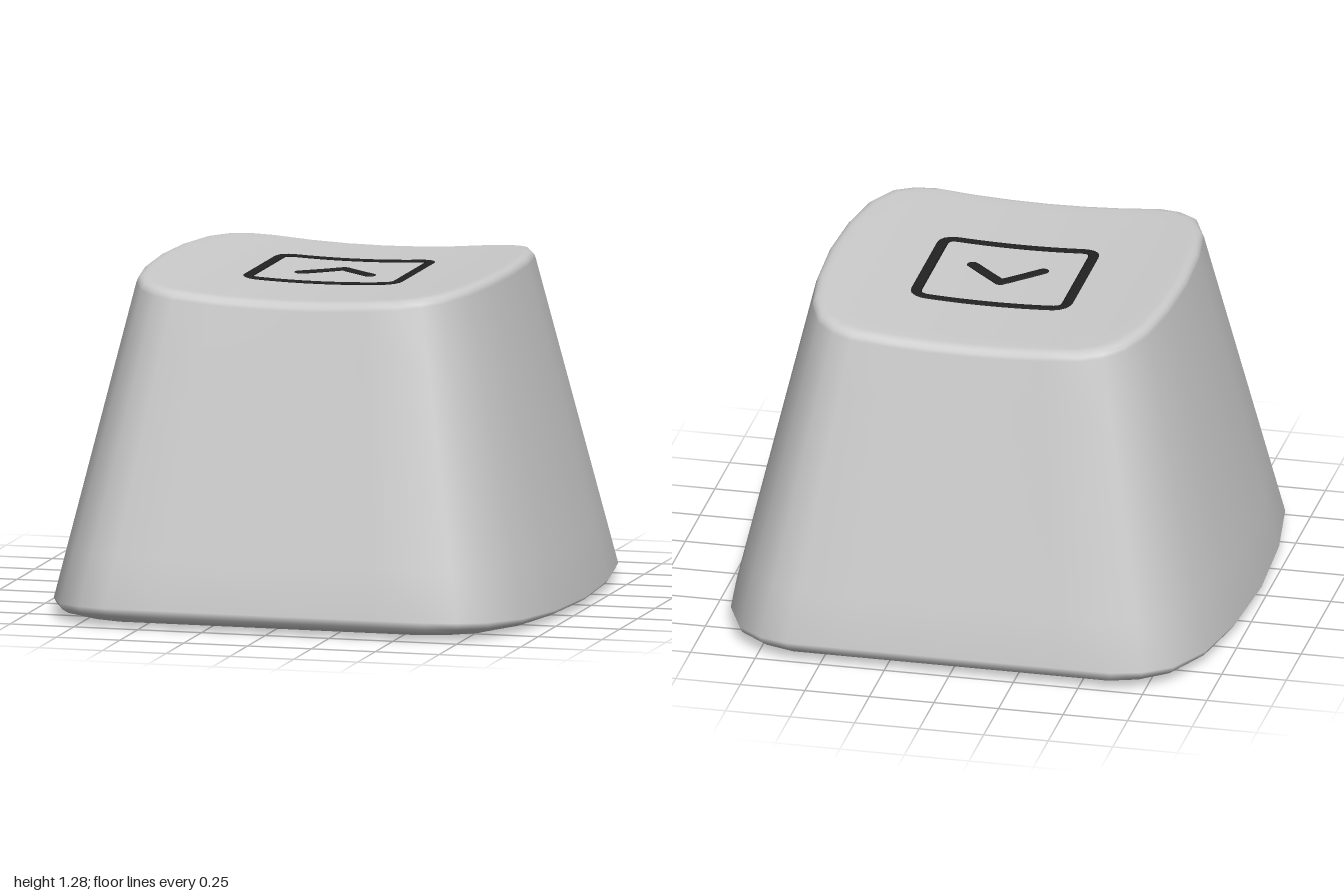
import * as THREE from 'three';
import { mergeVertices, mergeGeometries } from 'three/addons/utils/BufferGeometryUtils.js';

// Height of the cylindrical dish on top
const dish = (x) => 1.228 + 0.115 * x * x;

// Plan outline at the foot: one quarter, mirrored to all four
function outline() {
  const q = [[0, 1], [0.21, 1], [0.42, 1], [0.63, 1], [0.74, 0.96], [0.84, 0.87], [0.92, 0.67], [0.965, 0.37], [0.982, 0]];
  const back = q.slice(0, -1).reverse().map(([x, z]) => [x, -z]);
  const half = [...q, ...back];
  const left = half.slice(1, -1).reverse().map(([x, z]) => [-x, z]);
  return [...half, ...left];
}

// Scaled copies of the outline, skinned from the underside up to the dish
function capGeometry() {
  const pts = outline();
  const n = pts.length;
  const rings = [];
  const foot = (s, h) => rings.push(pts.map(([x, z]) => [x * s, h * (0.45 + 0.55 * z * z), z * s]));
  const top = (s, drop) => rings.push(pts.map(([x, z]) => [x * s, dish(x * s) - drop, z * s]));

  // underside and rounded foot
  [[0, 0], [0.5, 0], [0.85, 0.008], [0.93, 0.016], [0.97, 0.03], [0.99, 0.047], [1, 0.075]].forEach((r) => foot(...r));
  // sloping walls, ending just below the rim
  const base = rings[rings.length - 1];
  const rimScale = 0.707, rimDrop = 0.035;
  for (let i = 1; i <= 6; i++) {
    const t = i / 6;
    rings.push(pts.map(([x, z], j) => {
      const s = 1 + (rimScale - 1) * t;
      const y1 = dish(x * rimScale) - rimDrop;
      return [x * s, base[j][1] + (y1 - base[j][1]) * t, z * s];
    }));
  }
  // rounded rim and dished top
  [[0.702, 0.021], [0.692, 0.01], [0.678, 0.003], [0.66, 0]].forEach((r) => top(...r));
  for (let i = 10; i >= 0; i--) top(0.06 * i, 0);

  const index = [];
  for (let i = 0; i < rings.length - 1; i++) {
    for (let j = 0; j < n; j++) {
      const k = (j + 1) % n;
      const a = i * n + j, b = i * n + k, c = a + n, d = b + n;
      index.push(a, b, c, b, d, c);
    }
  }
  const g = new THREE.BufferGeometry();
  g.setAttribute('position', new THREE.Float32BufferAttribute(rings.flat(2), 3));
  g.setIndex(index);
  const merged = mergeVertices(g, 1e-5);
  merged.computeVertexNormals();
  return merged;
}

// Flatten a round stroke and lay it on the dish
function layOnDish(g) {
  const p = g.attributes.position;
  for (let i = 0; i < p.count; i++) p.setY(i, dish(p.getX(i)) + 0.003 + p.getY(i) * 0.2);
  g.computeVertexNormals();
  return g;
}

// Rounded rectangular frame stroke
function frameGeometry() {
  const w = 0.292, h = 0.27, r = 0.055;
  const path = new THREE.CurvePath();
  const v = (x, z) => new THREE.Vector3(x + 0.007, 0, z - 0.02);
  const line = (a, b) => path.add(new THREE.LineCurve3(v(...a), v(...b)));
  const bend = (a, b, c) => path.add(new THREE.QuadraticBezierCurve3(v(...a), v(...b), v(...c)));
  line([-w + r, h], [w - r, h]);
  bend([w - r, h], [w, h], [w, h - r]);
  line([w, h - r], [w, -h + r]);
  bend([w, -h + r], [w, -h], [w - r, -h]);
  line([w - r, -h], [-w + r, -h]);
  bend([-w + r, -h], [-w, -h], [-w, -h + r]);
  line([-w, -h + r], [-w, h - r]);
  bend([-w, h - r], [-w, h], [-w + r, h]);
  return layOnDish(new THREE.TubeGeometry(path, 120, 0.021, 8, true));
}

// Two round-ended strokes meeting at a point towards the back
function chevronGeometry() {
  const strokes = [-1, 1].map((side) => {
    const dx = 0.135 * side, dz = 0.13;
    const g = new THREE.CapsuleGeometry(0.024, Math.hypot(dx, dz), 4, 10, 8);
    g.rotateX(Math.PI / 2);
    g.rotateY(Math.atan2(dx, dz));
    g.translate(0.01 + dx / 2, 0, -0.085 + dz / 2);
    return g;
  });
  return layOnDish(mergeGeometries(strokes));
}

export function createModel() {
  const group = new THREE.Group();
  group.name = 'keycap';
  const grey = new THREE.MeshStandardMaterial({ color: 0xcccccc });
  const dark = new THREE.MeshStandardMaterial({ color: 0x222222 });
  const add = (name, geometry, material) => {
    const mesh = new THREE.Mesh(geometry, material);
    mesh.name = name;
    group.add(mesh);
  };
  add('capBody', capGeometry(), grey);
  add('frameMark', frameGeometry(), dark);
  add('chevronMark', chevronGeometry(), dark);
  return group;
}
